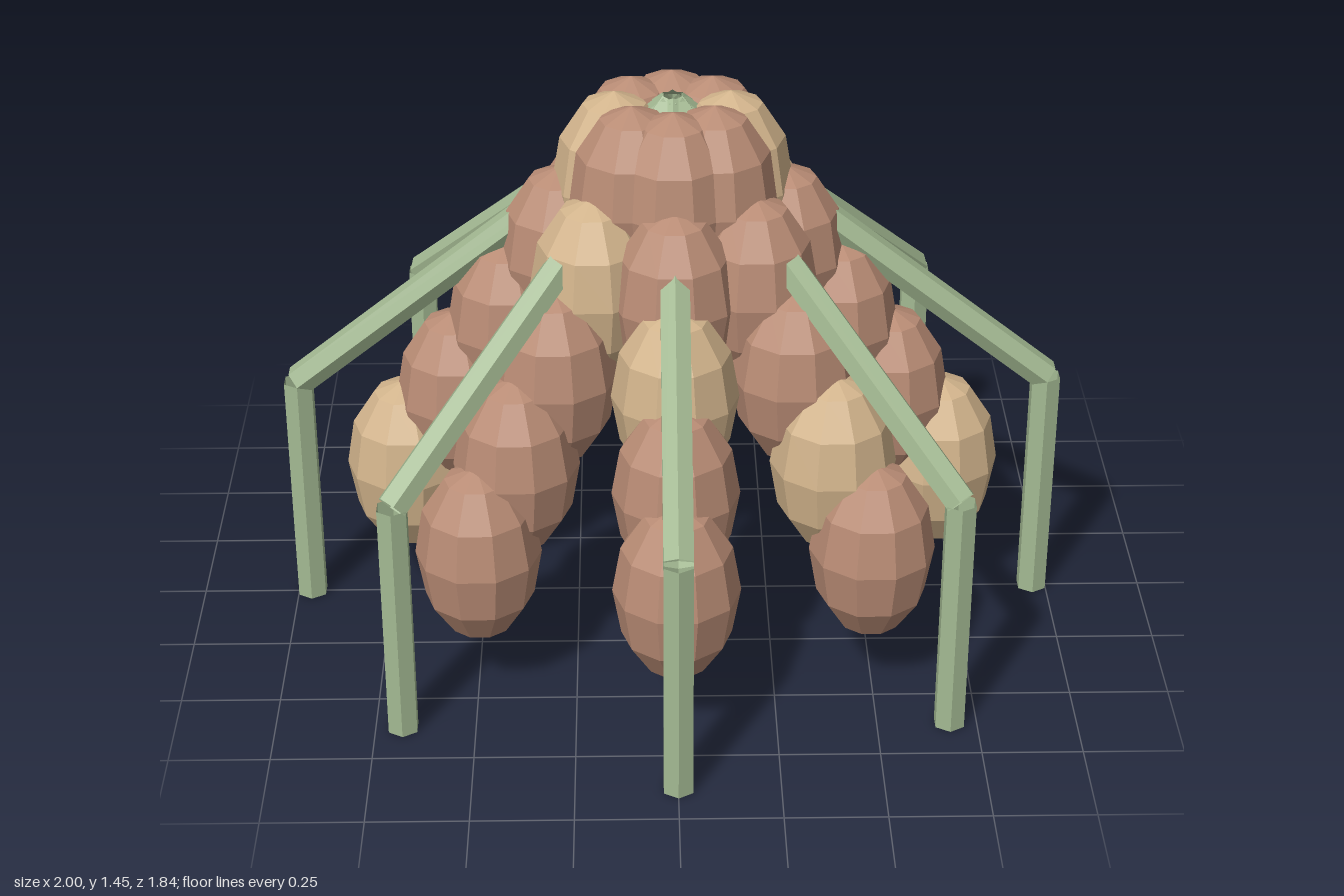
import * as THREE from 'three';

export function createModel() {
  const model = new THREE.Group();

  const brown = new THREE.MeshStandardMaterial({ color: 0xb98c75, flatShading: true });
  brown.name = 'brown';
  const tan = new THREE.MeshStandardMaterial({ color: 0xd2b48c, flatShading: true });
  tan.name = 'tan';
  const green = new THREE.MeshStandardMaterial({ color: 0xa3b992, flatShading: true, side: THREE.DoubleSide });
  green.name = 'sage green';

  const ARMS = 8, TIERS = 5;
  const KNEE_Y = 0.645;
  const apex = new THREE.Vector3(0, 1.41, 0);
  const podGeometry = new THREE.SphereGeometry(1, 10, 6).scale(0.157, 0.242, 0.157);

  // Open six-sided tube between two points
  function addTube(parent, name, from, to) {
    const dir = to.clone().sub(from);
    const length = dir.length();
    const tube = new THREE.Mesh(new THREE.CylinderGeometry(0.041, 0.041, length, 6, 1, true), green);
    tube.name = name;
    tube.position.copy(from).add(to).multiplyScalar(0.5);
    tube.quaternion.setFromUnitVectors(new THREE.Vector3(0, 1, 0), dir.normalize());
    parent.add(tube);
  }

  for (let i = 0; i < ARMS; i++) {
    const angle = (i / ARMS) * Math.PI * 2;
    const c = Math.cos(angle), s = Math.sin(angle);
    const arm = new THREE.Group();
    arm.name = 'arm' + (i + 1);

    // String of pods running down and outward, colours spiralling round the arms
    for (let t = 0; t < TIERS; t++) {
      const pod = new THREE.Mesh(podGeometry, (i + t) % 4 === 0 ? tan : brown);
      pod.name = 'pod';
      pod.position.set(c * (0.143 + t * 0.137), 1.208 - t * 0.201, s * (0.13 + t * 0.123));
      arm.add(pod);
    }

    // Sloping strut from the crown to the knee, then a vertical leg
    const knee = new THREE.Vector3(c * 0.963, KNEE_Y, s * 0.88);
    addTube(arm, 'strut', knee, apex);
    addTube(arm, 'leg', new THREE.Vector3(knee.x, 0, knee.z), knee);
    model.add(arm);
  }
  return model;
}
